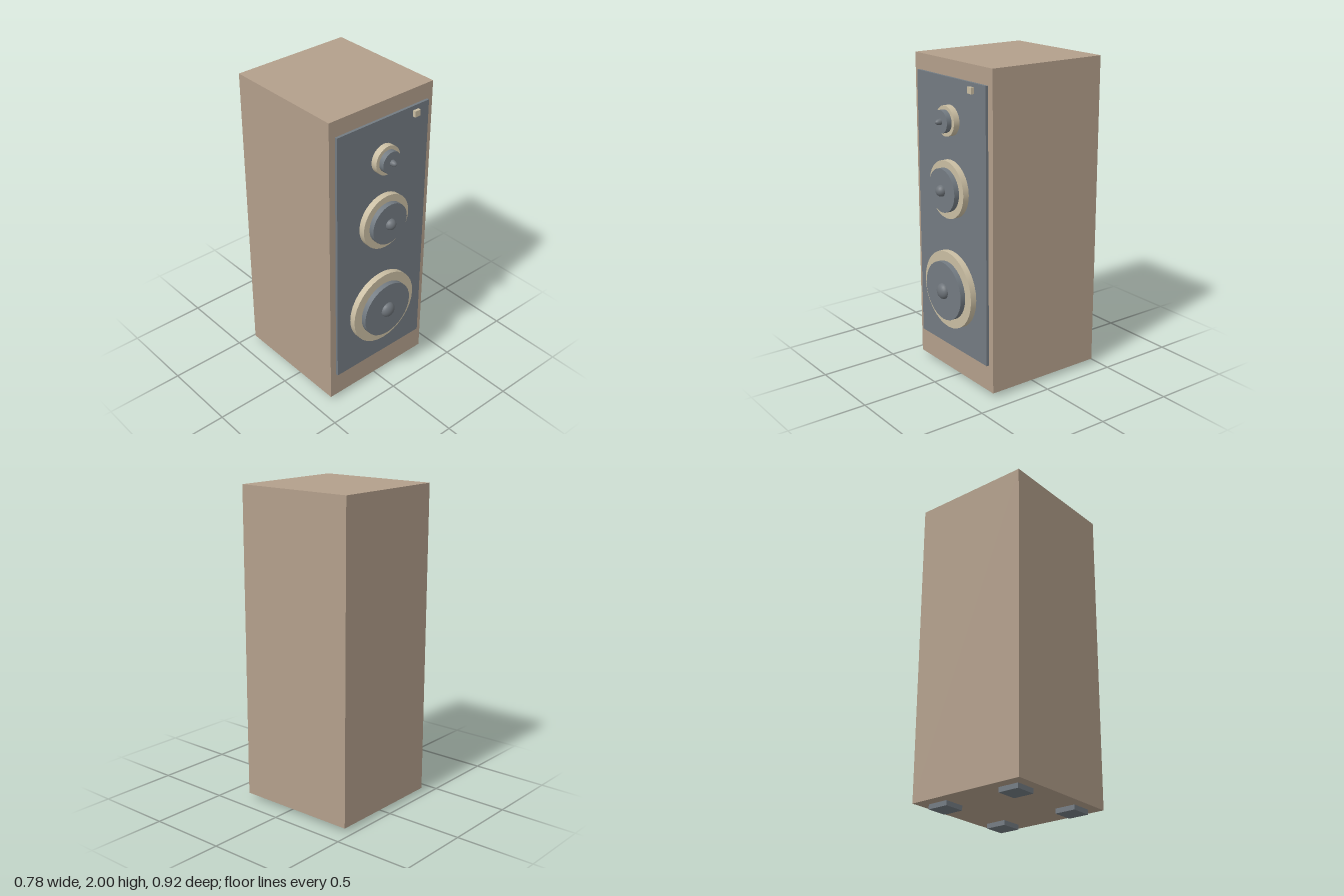
import * as THREE from 'three';

const material = (name, color) => {
  const m = new THREE.MeshStandardMaterial({ color });
  m.name = name;
  return m;
};

export function createModel() {
  const wood = material('wood', 0xb39f8b);
  const slate = material('slate', 0x737b82);
  const cream = material('cream', 0xcabea3);
  const domeGrey = material('domeGrey', 0x6d7379);

  const model = new THREE.Group();
  model.name = 'loudspeaker';

  const add = (name, geometry, mat, x, y, z, parent = model) => {
    const mesh = new THREE.Mesh(geometry, mat);
    mesh.name = name;
    mesh.position.set(x, y, z);
    parent.add(mesh);
    return mesh;
  };
  // Box given by its minimum and maximum corners
  const box = (name, mat, [x0, y0, z0], [x1, y1, z1]) =>
    add(name, new THREE.BoxGeometry(x1 - x0, y1 - y0, z1 - z0), mat,
      (x0 + x1) / 2, (y0 + y1) / 2, (z0 + z1) / 2);
  // Disc facing the front, between two depths
  const disc = (name, mat, radius, z0, z1, parent) =>
    add(name, new THREE.CylinderGeometry(radius, radius, z1 - z0, 32).rotateX(Math.PI / 2),
      mat, 0, 0, (z0 + z1) / 2, parent);

  // Cabinet, front baffle and indicator
  box('cabinet', wood, [-0.39, 0.03, -0.46], [0.39, 2, 0.335]);
  box('baffle', slate, [-0.347, 0.2, 0.335], [0.347, 1.9, 0.352]);
  box('indicator', cream, [0.212, 1.842, 0.362], [0.252, 1.88, 0.382]);

  // Feet
  for (const side of [-1, 1]) {
    for (const z of [0.198, -0.322]) {
      box('foot', slate, [side * 0.259 - 0.068, 0, z - 0.068], [side * 0.259 + 0.068, 0.03, z + 0.068]);
    }
  }

  // Drivers: surround, cone and dust cap
  const drivers = [
    { name: 'woofer', y: 0.593, ring: 0.245, cone: 0.185, cap: 0.05 },
    { name: 'midrange', y: 1.232, ring: 0.178, cone: 0.134, cap: 0.036 },
    { name: 'tweeter', y: 1.648, ring: 0.092, cone: 0.069, cap: 0.019 },
  ];
  for (const { name, y, ring, cone, cap } of drivers) {
    const driver = new THREE.Group();
    driver.name = name;
    driver.position.y = y;
    model.add(driver);
    disc('surround', cream, ring, 0.352, 0.391, driver);
    disc('cone', slate, cone, 0.391, 0.424, driver);
    const dome = new THREE.SphereGeometry(1, 20, 8, 0, Math.PI * 2, 0, Math.PI / 2)
      .rotateX(Math.PI / 2).scale(cap, cap, 0.035);
    add('dustCap', dome, domeGrey, 0, 0, 0.424, driver);
  }

  return model;
}
